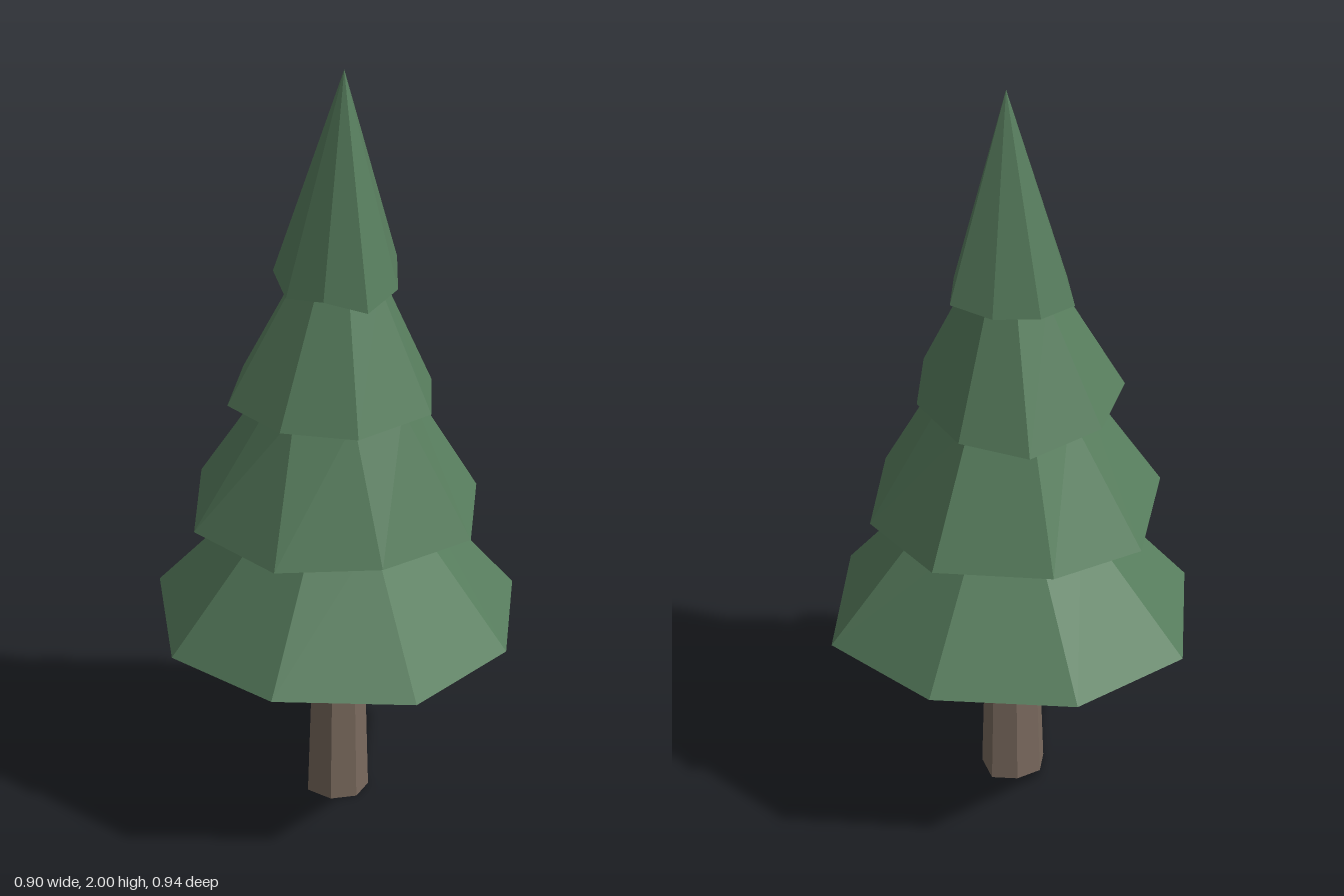
import * as THREE from 'three';

// Closed, faceted solid between a bottom ring and a top ring (or a tip) of [x, y, z] points.
// Rings run from the back over +x to the front.
function facetedSolid(bottom, top) {
  const pos = [];
  const tri = (...points) => points.forEach((p) => pos.push(...p));
  const centre = (ring) => [0, 1, 2].map((k) => ring.reduce((s, p) => s + p[k], 0) / ring.length);
  const n = bottom.length;
  const isTip = top.length === 1;
  const bottomMid = centre(bottom);
  const topMid = centre(top);
  for (let i = 0; i < n; i++) {
    const j = (i + 1) % n;
    tri(bottomMid, bottom[i], bottom[j]);
    if (isTip) {
      tri(bottom[j], bottom[i], top[0]);
    } else {
      tri(bottom[j], bottom[i], top[i]);
      tri(bottom[j], top[i], top[j]);
      tri(topMid, top[j], top[i]);
    }
  }
  const geometry = new THREE.BufferGeometry();
  geometry.setAttribute('position', new THREE.Float32BufferAttribute(pos, 3));
  geometry.computeVertexNormals();
  return geometry;
}

// Shrinks a ring towards the axis and puts it at one height
const shrink = (ring, scale, y) => ring.map(([x, , z]) => [x * scale, y, z * scale]);

export function createModel() {
  const tree = new THREE.Group();
  tree.name = 'pineTree';
  const needles = new THREE.MeshStandardMaterial({ color: 0x587e5e });
  needles.name = 'needleGreen';
  const bark = new THREE.MeshStandardMaterial({ color: 0x7a6a5e });
  bark.name = 'barkBrown';

  const add = (name, material, bottom, top) => {
    const mesh = new THREE.Mesh(facetedSolid(bottom, top), material);
    mesh.name = name;
    tree.add(mesh);
  };

  // Trunk: seven uneven sides, tapering slightly upwards
  const trunk = [
    [-0.01, 0, -0.08], [0.05, 0, -0.064], [0.06, 0, 0.016], [0.016, 0, 0.07],
    [-0.048, 0, 0.068], [-0.09, 0, 0.01], [-0.07, 0, -0.055],
  ];
  add('trunk', bark, trunk, shrink(trunk, 0.82, 0.5));

  // Lowest branches
  const lowest = [
    [-0.09, 0.475, -0.47], [0.26, 0.47, -0.37], [0.45, 0.455, -0.08], [0.34, 0.465, 0.27],
    [0.06, 0.465, 0.47], [-0.28, 0.47, 0.37], [-0.45, 0.455, 0.07], [-0.38, 0.465, -0.3],
  ];
  add('lowestBranches', needles, lowest, shrink(lowest, 0.42, 0.79));

  // Lower middle branches, with a slightly turned top
  const lower = [
    [-0.05, 0.785, -0.36], [0.236, 0.78, -0.274], [0.346, 0.77, -0.03], [0.26, 0.77, 0.236],
    [0.012, 0.775, 0.332], [-0.246, 0.77, 0.27], [-0.383, 0.775, 0.03], [-0.284, 0.775, -0.266],
  ];
  const lowerTop = [
    [-0.03, 1.11, -0.19], [0.12, 1.11, -0.14], [0.16, 1.11, -0.01], [0.11, 1.11, 0.155],
    [-0.02, 1.11, 0.18], [-0.155, 1.11, 0.12], [-0.18, 1.11, 0.015], [-0.13, 1.11, -0.13],
  ];
  add('lowerMiddleBranches', needles, lower, lowerTop);

  // Upper middle branches
  const upper = [
    [-0.007, 1.085, -0.27], [0.154, 1.09, -0.18], [0.226, 1.095, -0.005], [0.177, 1.1, 0.174],
    [-0.03, 1.105, 0.26], [-0.204, 1.1, 0.167], [-0.289, 1.095, -0.007], [-0.2, 1.095, -0.187],
  ];
  add('upperMiddleBranches', needles, upper, shrink(upper, 0.42, 1.42));

  // Pointed crown
  const crown = [
    [-0.057, 1.41, -0.144], [0.06, 1.41, -0.125], [0.154, 1.42, -0.06], [0.12, 1.405, 0.075],
    [0.02, 1.4, 0.165], [-0.08, 1.42, 0.117], [-0.154, 1.4, 0.04], [-0.15, 1.405, -0.095],
  ];
  add('crown', needles, crown, [[0.003, 2, 0.005]]);

  return tree;
}
